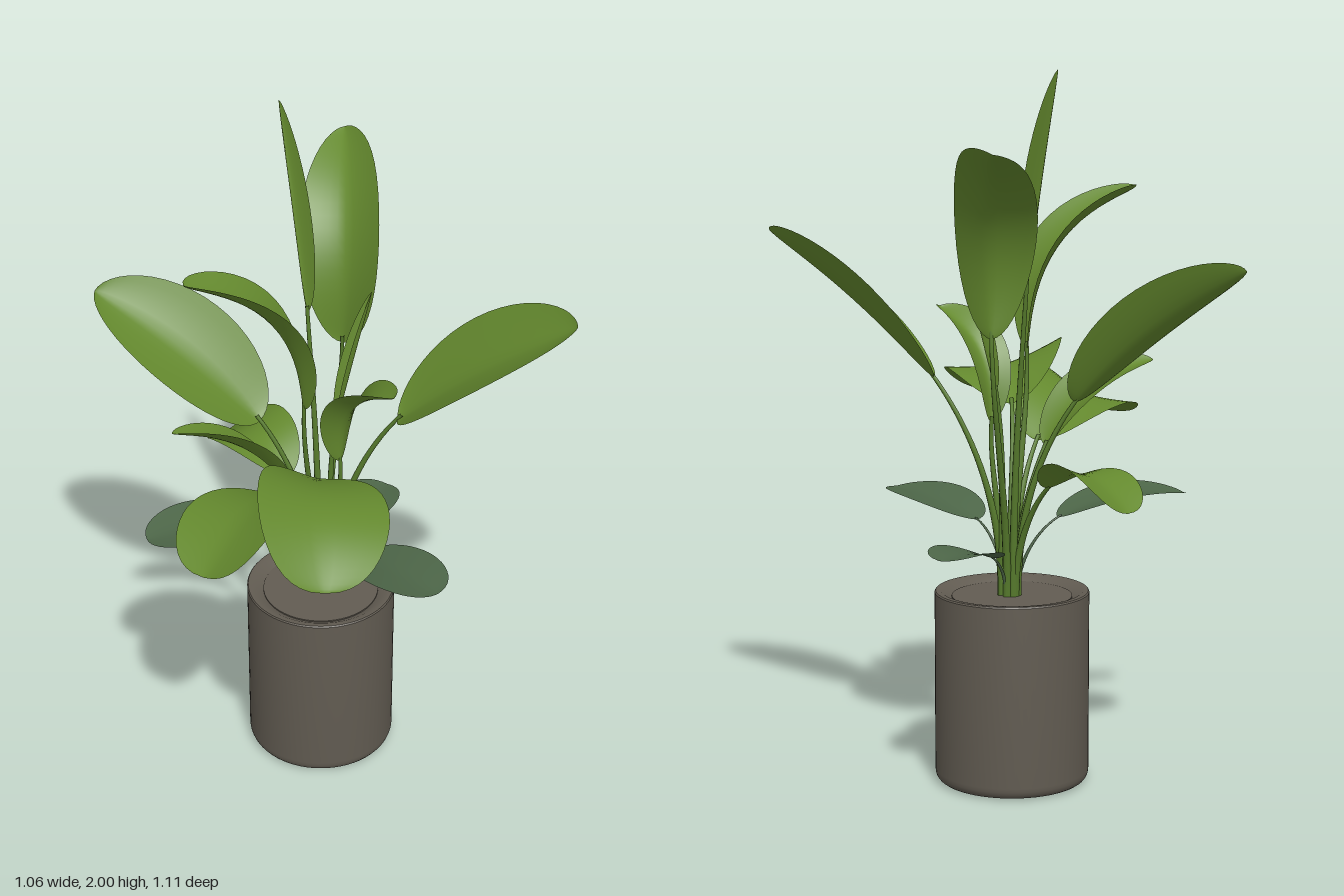
import * as THREE from 'three';
import { toCreasedNormals } from 'three/addons/utils/BufferGeometryUtils.js';

const UP = new THREE.Vector3(0, 1, 0);

const mat = (name, color, side = THREE.FrontSide) => {
  const m = new THREE.MeshStandardMaterial({ color, side });
  m.name = name;
  return m;
};

// Arched midrib from base to tip, with the sideways direction of its blade
function leafFrame(base, tip, arch, roll) {
  const chord = tip.clone().sub(base).normalize();
  const across = chord.clone().cross(UP).normalize();
  const normal = across.clone().cross(chord);
  const control = base.clone().add(tip).multiplyScalar(0.5).addScaledVector(normal, arch * 2);
  return {
    curve: new THREE.QuadraticBezierCurve3(base, control, tip),
    side: across.applyAxisAngle(chord, -roll),
  };
}

// Blade swept along the midrib and folded into a soft valley
function bladeGeometry(curve, side, halfWidth, fold, point) {
  const rows = 24, cols = 10, a = 0.55;
  const peak = a / (a + point);
  const widest = peak ** a * (1 - peak) ** point;
  const pos = [], index = [];
  for (let i = 0; i <= rows; i++) {
    const t = (1 - Math.cos((Math.PI * i) / rows)) / 2;
    const tangent = curve.getTangent(t);
    const s = side.clone().addScaledVector(tangent, -side.dot(tangent)).normalize();
    const n = s.clone().cross(tangent);
    const w = (halfWidth * t ** a * (1 - t) ** point) / widest;
    const p = curve.getPoint(t);
    for (let j = 0; j <= cols; j++) {
      const u = (j / cols) * 2 - 1;
      const q = p.clone().addScaledVector(s, u * w)
        .addScaledVector(n, w * fold * (Math.abs(u) ** 1.4 - 0.4));
      pos.push(q.x, q.y, q.z);
      if (i < rows && j < cols) {
        const k = i * (cols + 1) + j, m = k + cols + 1;
        index.push(k, k + 1, m, k + 1, m + 1, m);
      }
    }
  }
  const g = new THREE.BufferGeometry();
  g.setAttribute('position', new THREE.Float32BufferAttribute(pos, 3));
  g.setIndex(index);
  g.computeVertexNormals();
  return g;
}

// Tapered stalk rising from the soil and flowing into the midrib
function stalkGeometry(curve, radius) {
  const top = curve.getPoint(0.03);
  const angle = Math.atan2(top.z + 0.075, top.x - 0.045);
  const foot = new THREE.Vector3(0.045 + Math.cos(angle) * 0.022, 0.53, -0.075 + Math.sin(angle) * 0.022);
  const len = foot.distanceTo(top);
  const path = new THREE.CubicBezierCurve3(
    foot,
    foot.clone().addScaledVector(UP, len * 0.4),
    top.clone().addScaledVector(curve.getTangent(0), -len * 0.3),
    top,
  );
  const rings = 20, sides = 8;
  const g = new THREE.TubeGeometry(path, rings, radius, sides);
  const p = g.attributes.position, v = new THREE.Vector3();
  for (let i = 0; i < p.count; i++) {
    const t = Math.floor(i / (sides + 1)) / rings;
    const c = path.getPointAt(t);
    v.fromBufferAttribute(p, i).sub(c).multiplyScalar(1 - 0.55 * t).add(c);
    p.setXYZ(i, v.x, v.y, v.z);
  }
  return g;
}

export function createModel() {
  const model = new THREE.Group();
  const potMat = mat('pot grey', 0x625c52);
  const leafMat = mat('leaf green', 0x64892e, THREE.DoubleSide);
  const paleMat = mat('old leaf green', 0x4d6648, THREE.DoubleSide);
  const stalkMat = mat('stalk green', 0x567a2c);

  const add = (name, geometry, material, parent = model) => {
    const mesh = new THREE.Mesh(geometry, material);
    mesh.name = name;
    parent.add(mesh);
    return mesh;
  };

  // Pot with a rounded foot and a sloping inner lip
  const outline = new THREE.Path();
  outline.moveTo(0, 0).lineTo(0.183, 0).quadraticCurveTo(0.218, 0, 0.218, 0.035);
  outline.lineTo(0.218, 0.546).lineTo(0.215, 0.55).lineTo(0.2, 0.55).lineTo(0.168, 0.53);
  const pot = add('pot', toCreasedNormals(new THREE.LatheGeometry(outline.getPoints(6), 64), 0.6), potMat);
  pot.position.set(0.04, 0, -0.08);

  // Soil cover
  const soil = add('soilCover', new THREE.CylinderGeometry(0.17, 0.17, 0.02, 48), potMat);
  soil.position.set(0.04, 0.525, -0.08);

  // One leaf kind shares its fold, tip sharpness, stalk and colours
  const kind = (fold, point, stalk, bladeMat, stemMat) => (name, base, tip, arch, width, roll = 0) => {
    const group = new THREE.Group();
    group.name = name;
    const { curve, side } = leafFrame(new THREE.Vector3(...base), new THREE.Vector3(...tip), arch, roll);
    add(name + 'Blade', bladeGeometry(curve, side, width, fold, point), bladeMat, group);
    add(name + 'Stalk', stalkGeometry(curve, stalk), stemMat, group);
    model.add(group);
  };
  const pointed = kind(0.38, 0.58, 0.0125, leafMat, stalkMat);
  const cupped = kind(0.55, 0.46, 0.0125, leafMat, stalkMat);
  const broad = kind(0.2, 0.4, 0.0125, leafMat, stalkMat);
  const furled = kind(1.7, 0.7, 0.0125, leafMat, stalkMat);
  const old = kind(0.15, 0.45, 0.006, paleMat, paleMat);

  // Pointed leaves
  pointed('backLeftLeaf', [-0.09, 1.09, -0.2], [-0.45, 1.46, -0.5], 0.04, 0.145, 0.58);
  pointed('backRightLeaf', [0.17, 1.28, -0.19], [0.34, 1.79, -0.49], 0.15, 0.122, 0.42);
  pointed('lowerLeftLeaf', [-0.08, 0.95, -0.06], [-0.4, 1.18, -0.125], 0.06, 0.082, -0.31);
  pointed('frontRightLeaf', [0.21, 1.15, 0.06], [0.53, 1.55, 0.445], 0.035, 0.15, -0.36);

  // Cupped leaves
  cupped('upperLeftLeaf', [-0.05, 1.22, -0.01], [-0.38, 1.67, -0.06], 0.115, 0.088);
  cupped('frontSmallLeaf', [0.06, 1.02, 0], [0.105, 1.33, 0.215], 0.085, 0.073);

  // Broad drooping leaves
  broad('backDroopingLeaf', [0.01, 0.86, -0.22], [-0.04, 0.84, -0.545], 0.08, 0.116, 0.17);
  broad('frontLeftLeaf', [-0.06, 1.05, 0.09], [-0.28, 1.02, 0.535], 0.11, 0.18, 0.24);
  broad('sideLeftLeaf', [-0.1, 0.95, 0.02], [-0.5, 0.975, 0.265], 0.105, 0.172, -0.3);

  // Young leaves still furled
  furled('newUprightLeaf', [0.05, 1.42, -0.175], [0.045, 2, -0.325], 0.02, 0.027);
  furled('newSideLeaf', [0.08, 1.12, -0.06], [0.19, 1.5, -0.06], 0.01, 0.018);

  // Old pale leaves near the rim
  old('oldLeftLeaf', [-0.08, 0.755, -0.13], [-0.46, 0.8, -0.2], 0.033, 0.117);
  old('oldRightLeaf', [0.13, 0.66, -0.13], [0.36, 0.7, -0.25], 0.022, 0.092);
  old('oldFrontLeaf', [0.07, 0.73, 0.06], [0.15, 0.78, 0.4], 0.018, 0.113);
  return model;
}
